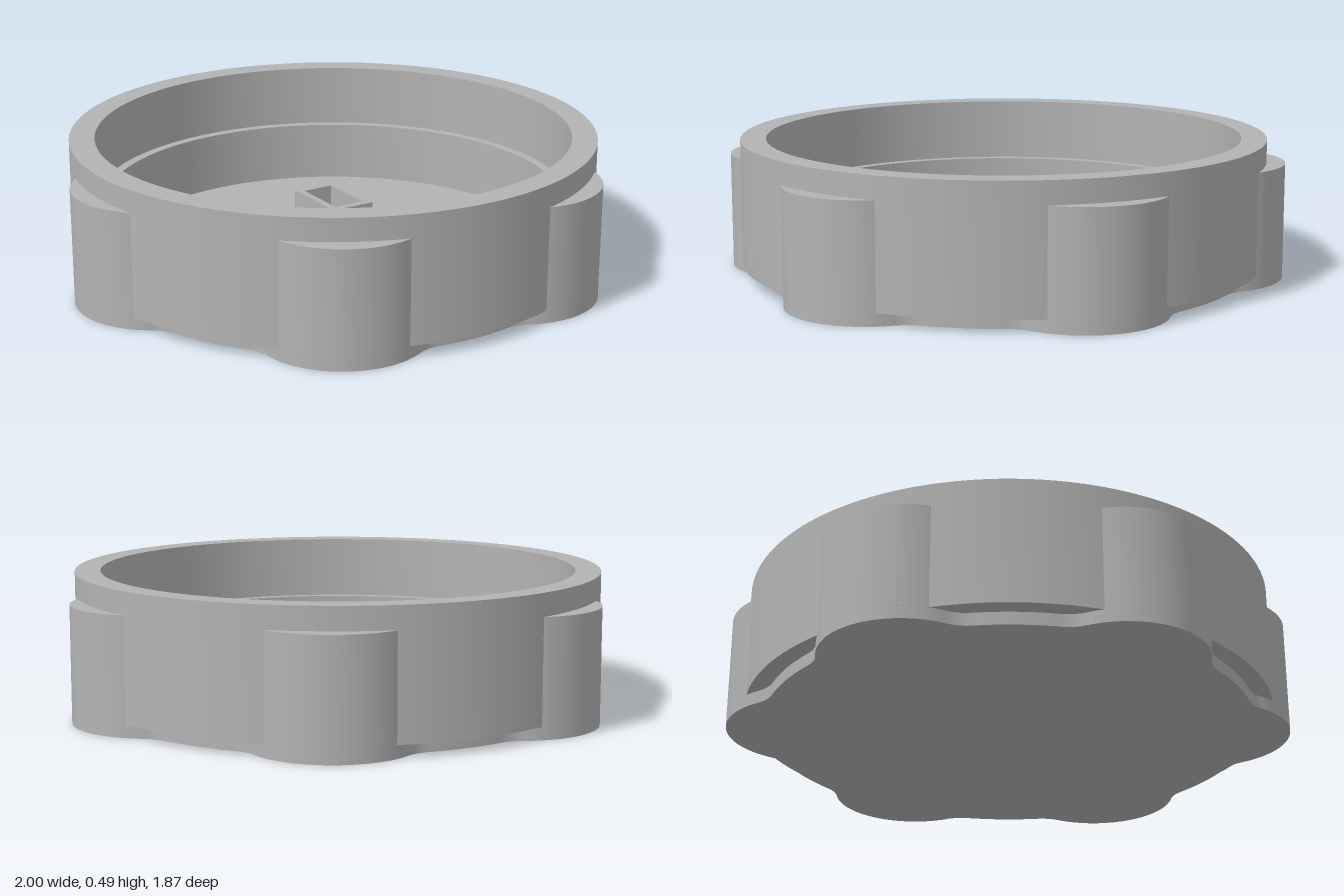
import * as THREE from 'three';
import { toCreasedNormals } from 'three/addons/utils/BufferGeometryUtils.js';

const FLOOR = 0.045, TOP = 0.49, GRIP_TOP = 0.41;
const LOBE_DIST = 0.71, LOBE_R = 0.29; // grip circles
const DISC_R = 0.87, DISC_ANGLE = THREE.MathUtils.degToRad(20.8); // base disc between grips

// Extrude a plan shape upwards from y0 to y1
function extrudeUp(shape, y0, y1) {
  const geo = new THREE.ExtrudeGeometry(shape, { depth: y1 - y0, bevelEnabled: false, curveSegments: 16 });
  geo.rotateX(-Math.PI / 2);
  geo.translate(0, y0, 0);
  return toCreasedNormals(geo, 0.6);
}

// Six-lobed outline: grip arcs blended into a disc by small concave fillets
function lobedShape() {
  const c = Math.cos(DISC_ANGLE), s = Math.sin(DISC_ANGLE);
  const f = (DISC_R ** 2 + LOBE_DIST ** 2 - 2 * DISC_R * LOBE_DIST * c - LOBE_R ** 2) /
    (2 * LOBE_R - 2 * DISC_R + 2 * LOBE_DIST * c);
  const d = DISC_R + f;
  const phi = Math.atan2(d * s, d * c - LOBE_DIST);
  const shape = new THREE.Shape();
  for (let i = 0; i < 6; i++) {
    const a = i * Math.PI / 3, b = a + Math.PI / 3;
    const p = a + DISC_ANGLE, q = b - DISC_ANGLE;
    shape.absarc(LOBE_DIST * Math.cos(a), LOBE_DIST * Math.sin(a), LOBE_R, a - phi, a + phi, false);
    shape.absarc(d * Math.cos(p), d * Math.sin(p), f, a + phi + Math.PI, p + Math.PI, true);
    shape.absarc(0, 0, DISC_R, p, q, false);
    shape.absarc(d * Math.cos(q), d * Math.sin(q), f, q + Math.PI, b - phi + Math.PI, true);
  }
  return shape;
}

function rectangle(path, hx, hz) {
  path.moveTo(-hx, -hz);
  path.lineTo(hx, -hz);
  path.lineTo(hx, hz);
  path.lineTo(-hx, hz);
  path.closePath();
  return path;
}

export function createModel() {
  const group = new THREE.Group();
  group.name = 'knobCap';
  const grey = new THREE.MeshStandardMaterial({ color: 0xb3b3b3 });
  grey.name = 'grey';
  const add = (name, geo) => {
    const mesh = new THREE.Mesh(geo, grey);
    mesh.name = name;
    group.add(mesh);
    return mesh;
  };

  // Lobed base plate, whose top is the cup floor
  add('basePlate', extrudeUp(lobedShape(), 0, FLOOR));

  // Round wall with an inner ledge
  const profile = [
    [0.935, FLOOR], [0.935, TOP], [0.845, TOP], [0.845, 0.264],
    [0.81, 0.264], [0.81, FLOOR], [0.935, FLOOR],
  ].map(([r, y]) => new THREE.Vector2(r, y));
  add('wall', toCreasedNormals(new THREE.LatheGeometry(profile, 128), 0.6));

  // Six finger grips set into the wall
  const half = Math.acos((0.88 - LOBE_DIST) / LOBE_R);
  const gripShape = new THREE.Shape();
  gripShape.absarc(LOBE_DIST, 0, LOBE_R, -half, half, false);
  gripShape.closePath();
  const gripGeo = extrudeUp(gripShape, FLOOR, GRIP_TOP);
  for (let i = 0; i < 6; i++) add('grip' + (i + 1), gripGeo).rotation.y = i * Math.PI / 3;

  // Hollow rectangular post in the middle
  const post = rectangle(new THREE.Shape(), 0.082, 0.132);
  post.holes.push(rectangle(new THREE.Path(), 0.057, 0.105));
  add('socketPost', extrudeUp(post, FLOOR, 0.24));

  return group;
}
